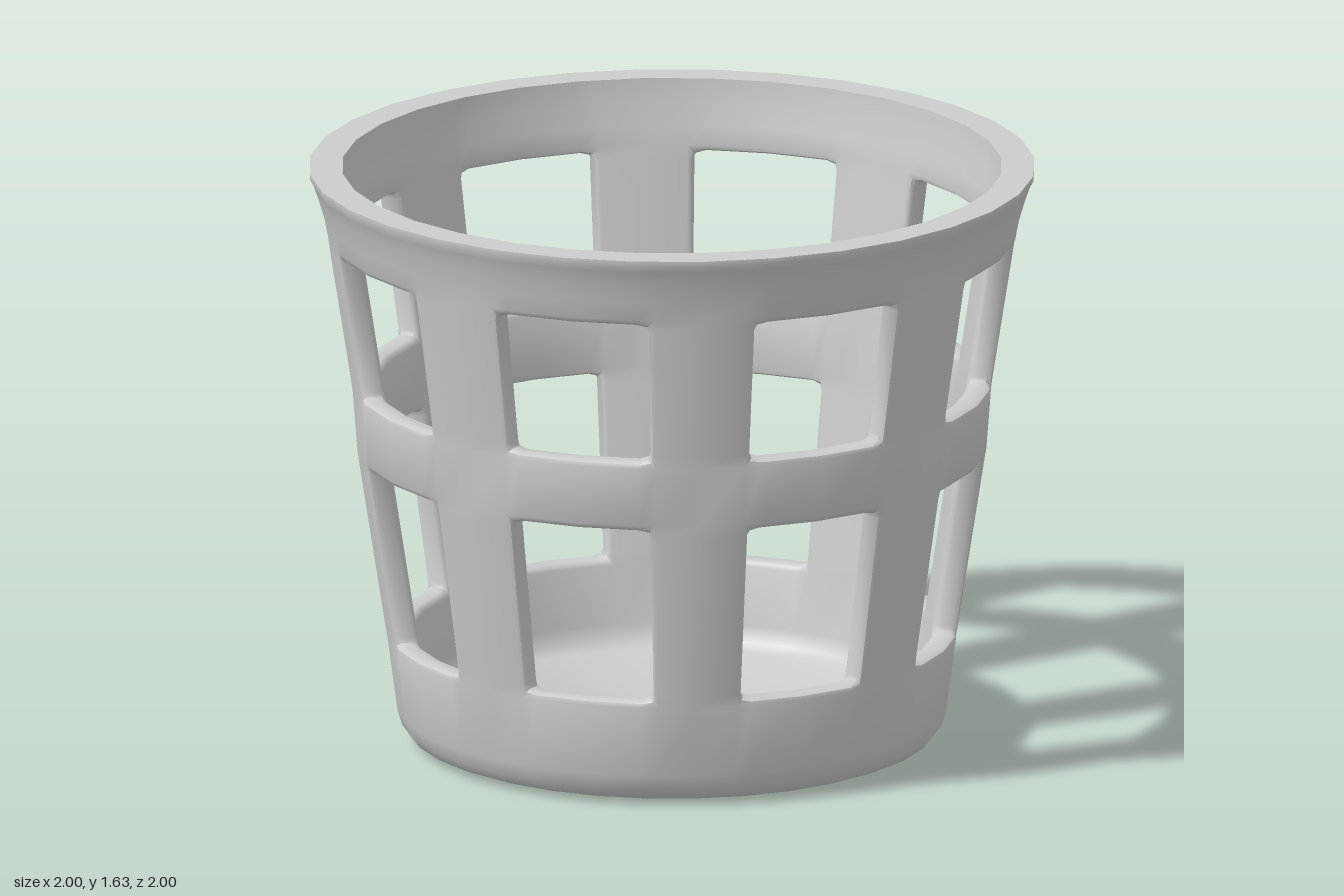
import * as THREE from 'three';
import { toCreasedNormals } from 'three/addons/utils/BufferGeometryUtils.js';

const SIDES = 32, STEP = 360 / SIDES, TURN = 4.5; // facets and their offset, degrees
const WINDOWS = 8, PITCH = 360 / WINDOWS;
const HALF = 14.5;                                // half window angle, including its bevel
const BEVEL_U = 1, BEVEL_Y = 0.016;
const SPANS = [[0.294, 0.836], [1.004, 1.446]];   // window heights, including bevel

// Wall rows shared by the outside and inside: [outer radius, y]
const wall = [[0.787, 0.294], [0.793, 0.33], [0.866, 0.8], [0.871, 0.836],
  [0.884, 1.004], [0.889, 1.04], [0.947, 1.41], [0.952, 1.446]];
const THICK = 0.07;

// Closed section: under the floor, up the outside, over the rim, down the inside
const profile = [
  [0, 0], [0.6, 0.004], [0.695, 0.01], [0.725, 0.022], [0.747, 0.05], [0.76, 0.09],
  ...wall,
  [0.962, 1.5], [0.98, 1.56], [0.992, 1.595], [1.003, 1.615], [1.003, 1.63],
  [0.912, 1.63], [0.905, 1.56], [0.89, 1.5],
  ...wall.map(([r, y]) => [r - THICK, y]).reverse(),
  [0.70, 0.13], [0.685, 0.085], [0.66, 0.065], [0, 0.06],
];

// Point on the faceted round at angle u (degrees from the first window's middle)
function place(u, r, y) {
  const off = ((u % STEP) + STEP) % STEP - STEP / 2;
  const rad = THREE.MathUtils.degToRad;
  const R = r * Math.cos(rad(STEP / 2)) / Math.cos(rad(off));
  const a = rad(u + TURN);
  return [R * Math.sin(a), y, R * Math.cos(a)];
}

function outerRadius(y) {
  let i = 0;
  while (i < wall.length - 2 && y > wall[i + 1][1]) i++;
  const [r0, y0] = wall[i], [r1, y1] = wall[i + 1];
  return r0 + (r1 - r0) * (y - y0) / (y1 - y0);
}

function buildGeometry(fill) {
  const pos = [];
  fill((a, b, c, d) => pos.push(...a, ...b, ...c, ...a, ...c, ...d));
  const g = new THREE.BufferGeometry();
  g.setAttribute('position', new THREE.Float32BufferAttribute(pos, 3));
  return toCreasedNormals(g, 0.75);
}

// Rounded sides of one window, swept around its outline from outside to inside
function windowLining(quad, middle, [y0, y1]) {
  const us = [-HALF, -STEP, 0, STEP, HALF], ys = [y0, y0 + 0.036, y1 - 0.036, y1];
  const loop = [
    ...us.slice(0, -1).map(u => [u, y0]),
    ...ys.slice(0, -1).map(y => [HALF, y]),
    ...us.slice(1).reverse().map(u => [u, y1]),
    ...ys.slice(1).reverse().map(y => [-HALF, y]),
  ];
  const section = [[0, 0], [0.65, 0.06], [1, 0.24], [1, 0.8], [0.65, 0.95], [0, 1]];
  const point = ([u, y], [inset, depth]) => {
    const side = Math.abs(u) === HALF, end = y === y0 || y === y1;
    const k = inset * (side && end ? 1.45 : 1);   // corners pulled in to round them
    const pu = side ? u - Math.sign(u) * BEVEL_U * k : u;
    const py = end ? y + (y === y0 ? 1 : -1) * BEVEL_Y * k : y;
    return place(middle + pu, outerRadius(py) - THICK * depth, py);
  };
  loop.forEach((p, i) => {
    const q = loop[(i + 1) % loop.length];
    for (let s = 0; s < section.length - 1; s++) {
      quad(point(p, section[s]), point(q, section[s]), point(q, section[s + 1]), point(p, section[s + 1]));
    }
  });
}

export function createModel() {
  const group = new THREE.Group();
  group.name = 'basket';

  const columns = [-PITCH / 2, -HALF, -STEP, 0, STEP, HALF, PITCH / 2];
  const geometry = buildGeometry(quad => {
    for (let w = 0; w < WINDOWS; w++) {
      const middle = w * PITCH;
      // Wall, rim and floor, leaving the windows open
      for (let c = 0; c < columns.length - 1; c++) {
        const [u0, u1] = [columns[c], columns[c + 1]];
        for (let i = 0; i < profile.length - 1; i++) {
          const [r0, y0] = profile[i], [r1, y1] = profile[i + 1];
          const open = u0 >= -HALF && u1 <= HALF && SPANS.some(([lo, hi]) =>
            Math.min(y0, y1) >= lo && Math.max(y0, y1) <= hi);
          if (open) continue;
          quad(place(middle + u0, r0, y0), place(middle + u1, r0, y0),
            place(middle + u1, r1, y1), place(middle + u0, r1, y1));
        }
      }
      SPANS.forEach(span => windowLining(quad, middle, span));
    }
  });

  const body = new THREE.Mesh(geometry, new THREE.MeshStandardMaterial({ color: 0xcccccc }));
  body.name = 'basketBody';
  group.add(body);
  return group;
}
